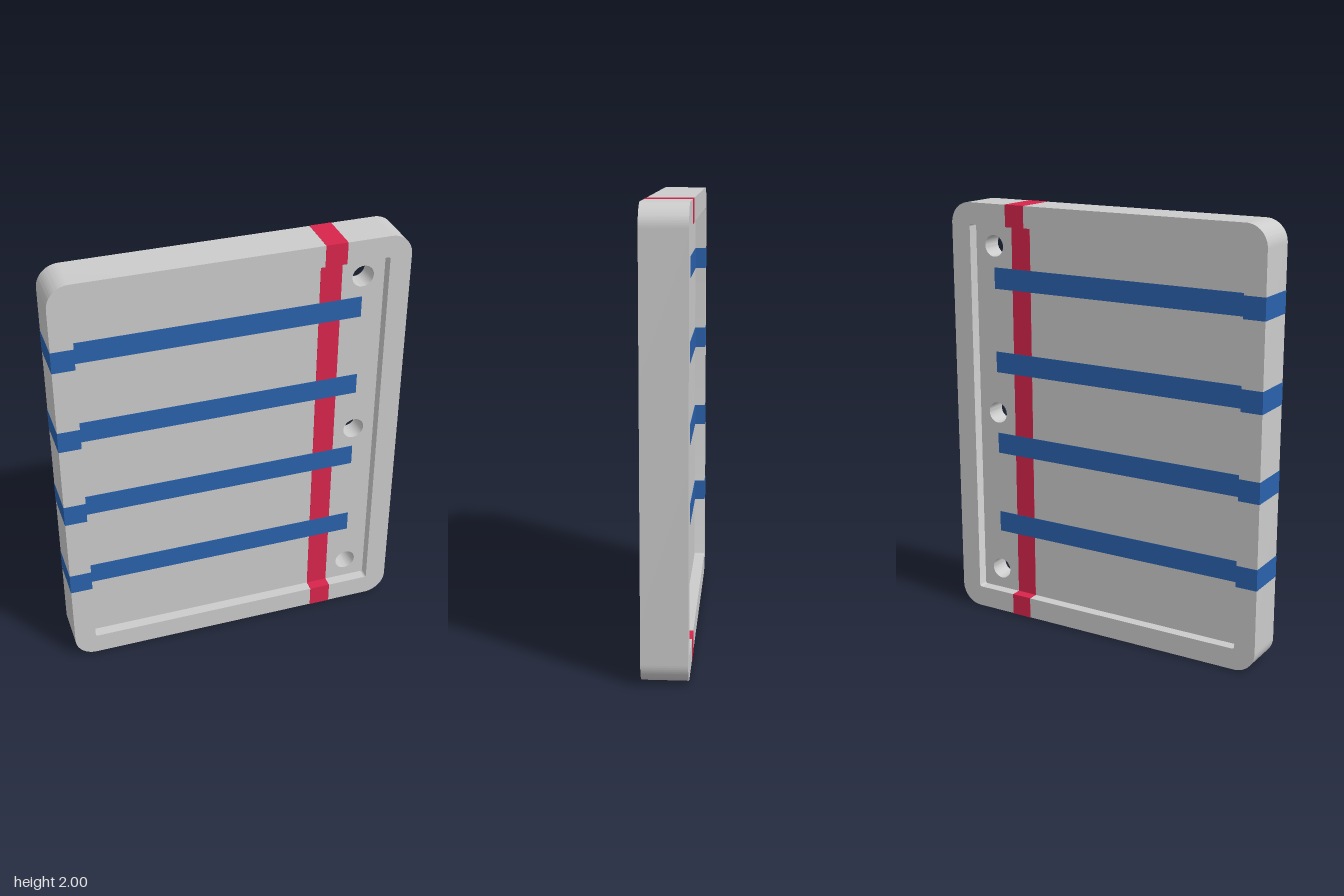
import * as THREE from 'three';
import { toCreasedNormals } from 'three/addons/utils/BufferGeometryUtils.js';

const GREY = new THREE.MeshStandardMaterial({ color: 0xcccccc });
const RED = new THREE.MeshStandardMaterial({ color: 0xd8254c });
const BLUE = new THREE.MeshStandardMaterial({ color: 0x2a62ad });

const W = 1.6, H = 2, DEPTH = 0.2;      // outer frame
const RIM = 0.1, WEB = 0.1;             // rim width, thickness of the recessed plate
const SKIN = 0.001;                     // how far the stripes stand proud

// Rounded rectangle centred on x = 0, y = H / 2
function roundedRect(Type, w, h, r) {
  const x = w / 2, b = (H - h) / 2, t = b + h;
  const p = new Type();
  p.moveTo(-x + r, b);
  p.lineTo(x - r, b);
  p.absarc(x - r, b + r, r, -Math.PI / 2, 0);
  p.lineTo(x, t - r);
  p.absarc(x - r, t - r, r, 0, Math.PI / 2);
  p.lineTo(-x + r, t);
  p.absarc(-x + r, t - r, r, Math.PI / 2, Math.PI);
  p.lineTo(-x, b + r);
  p.absarc(-x + r, b + r, r, Math.PI, Math.PI * 1.5);
  return p;
}

function slab(name, shape, depth) {
  const geo = new THREE.ExtrudeGeometry(shape, { depth, bevelEnabled: false, curveSegments: 16 });
  geo.translate(0, 0, -depth / 2);
  const mesh = new THREE.Mesh(toCreasedNormals(geo, 0.6), GREY);
  mesh.name = name;
  return mesh;
}

// Box given by its x and y limits, centred on z = 0
function block(name, x0, x1, y0, y1, depth, material) {
  const mesh = new THREE.Mesh(new THREE.BoxGeometry(x1 - x0, y1 - y0, depth), material);
  mesh.position.set((x0 + x1) / 2, (y0 + y1) / 2, 0);
  mesh.name = name;
  return mesh;
}

export function createModel() {
  const model = new THREE.Group();
  model.name = 'notebookPage';
  const innerW = W - 2 * RIM, innerH = H - 2 * RIM;

  // Raised rim with rounded outer corners
  const rim = roundedRect(THREE.Shape, W, H, 0.1);
  rim.holes.push(roundedRect(THREE.Path, innerW, innerH, 0.01));
  model.add(slab('rim', rim, DEPTH));

  // Recessed plate with three punched holes
  const plate = roundedRect(THREE.Shape, innerW, innerH, 0.01);
  for (const y of [0.2, 1, 1.8]) {
    plate.holes.push(new THREE.Path().absarc(0.6, y, 0.05, 0, Math.PI * 2, true));
  }
  model.add(slab('plate', plate, WEB));

  // Red margin stripe, wrapping over the top and bottom rims
  const margin = new THREE.Group();
  margin.name = 'marginStripe';
  margin.add(
    block('marginOnPlate', 0.4, 0.5, RIM, H - RIM, WEB + 2 * SKIN, RED),
    block('marginOnBottomRim', 0.4, 0.5, -SKIN, RIM + SKIN, DEPTH + 2 * SKIN, RED),
    block('marginOnTopRim', 0.4, 0.5, H - RIM - SKIN, H + SKIN, DEPTH + 2 * SKIN, RED)
  );
  model.add(margin);

  // Blue ruled lines, crossing over the margin and wrapping round the side rim
  for (const y of [0.4, 0.8, 1.2, 1.6]) {
    const line = new THREE.Group();
    line.name = 'ruledLine';
    line.add(
      block('lineOnPlate', -W / 2 + RIM, 0.6, y, y + 0.1, WEB + 4 * SKIN, BLUE),
      block('lineOnRim', -W / 2 - SKIN, -W / 2 + RIM + SKIN, y, y + 0.1, DEPTH + 2 * SKIN, BLUE)
    );
    model.add(line);
  }
  return model;
}
